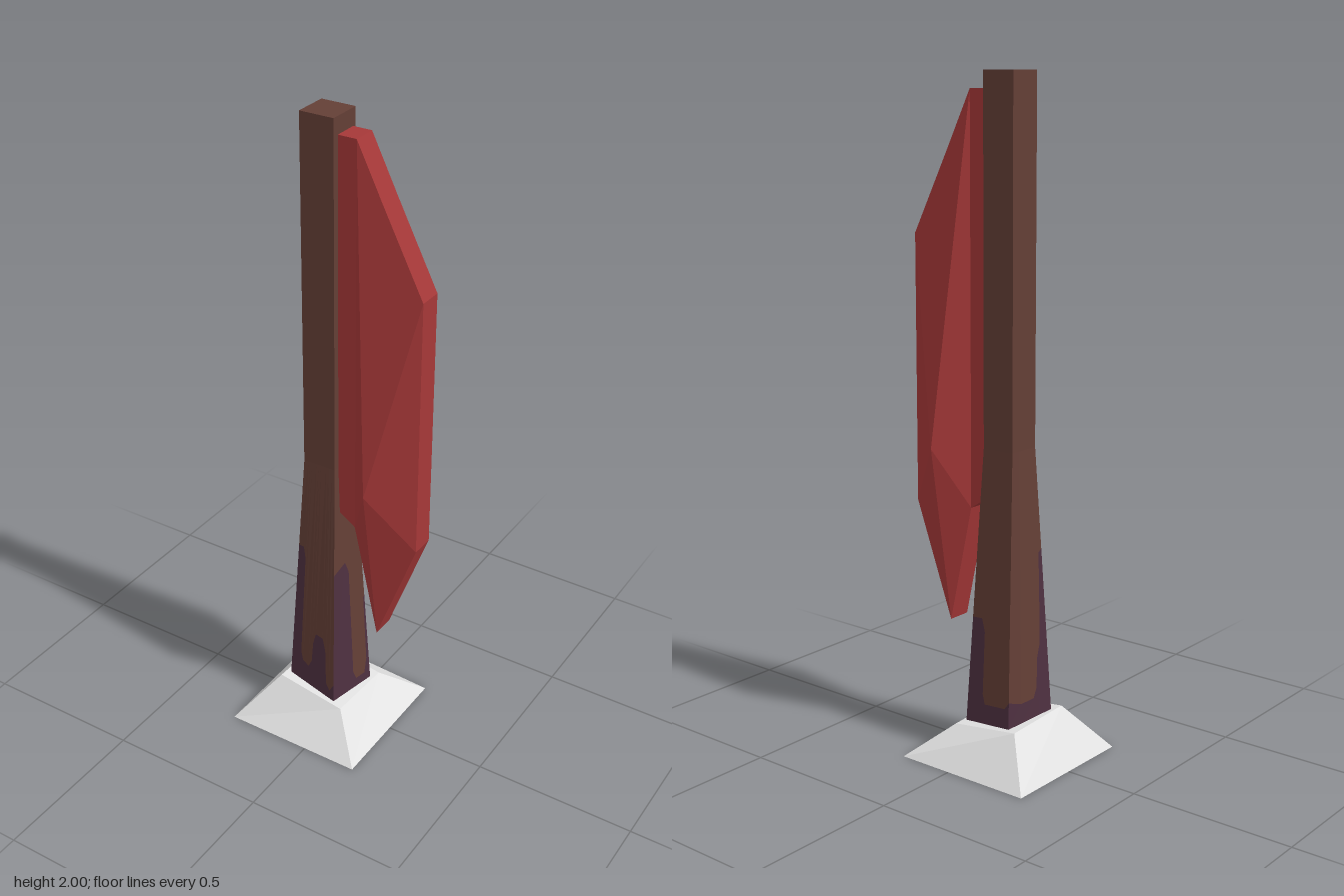
import * as THREE from 'three';

const mats = {
  wood: new THREE.MeshStandardMaterial({ color: 0x643f36 }),
  stain: new THREE.MeshStandardMaterial({ color: 0x4e3040 }),
  cloth: new THREE.MeshStandardMaterial({ color: 0xa63838 }),
  stone: new THREE.MeshStandardMaterial({ color: 0xe2e2e2 }),
};
for (const [name, m] of Object.entries(mats)) m.name = name;

// Faceted mesh from a list of polygons (each a convex loop of [x, y, z], counter-clockwise)
function facets(name, material, polys) {
  const pos = [];
  for (const p of polys)
    for (let i = 1; i < p.length - 1; i++) pos.push(...p[0], ...p[i], ...p[i + 1]);
  const g = new THREE.BufferGeometry();
  g.setAttribute('position', new THREE.Float32BufferAttribute(pos, 3));
  g.computeVertexNormals();
  const mesh = new THREE.Mesh(g, material);
  mesh.name = name;
  return mesh;
}

const mix = (a, b, t) => a.map((v, i) => v + (b[i] - v) * t);

// Side walls between two loops listed front-left, front-right, back-right, back-left
const walls = (low, high) => low.map((p, i) => {
  const j = (i + 1) % low.length;
  return [p, low[j], high[j], high[i]];
});

// Height of the gently tilted plinth top
const tilt = (x, z) => 0.12 - 0.14 * (x + 0.05) + 0.06 * z;
const onTilt = ([x, z]) => [x, tilt(x, z), z];

function makePlinth() {
  const foot = [[-0.27, 0, 0.223], [0.175, 0, 0.223], [0.175, 0, -0.225], [-0.27, 0, -0.225]];
  const top = [[-0.162, 0.108], [0.063, 0.115], [0.065, -0.112], [-0.16, -0.117]].map(onTilt);
  return facets('plinth', mats.stone, [...walls(foot, top), top, [...foot].reverse()]);
}

function makePost() {
  const post = new THREE.Group();
  post.name = 'post';
  const square = (y) => [[-0.102, y, 0.05], [0.003, y, 0.05], [0.003, y, -0.055], [-0.102, y, -0.055]];
  const bend = square(0.94), top = square(2);
  post.add(facets('upperPost', mats.wood, [...walls(bend, top), top]));

  // Twisted flare; each face has a stain whose upper edge is a [u, y] line
  const low = [[-0.148, 0.075], [0.028, 0.1], [0.053, -0.078], [-0.125, -0.1]].map(onTilt);
  const stainLines = [
    [[0, 0.63], [0.14, 0.63], [0.2, 0.59], [0.21, 0.23], [0.26, 0.2], [0.4, 0.19], [0.47, 0.22],
      [0.49, 0.29], [0.55, 0.33], [0.72, 0.33], [0.79, 0.29], [0.82, 0.17], [0.9, 0.15], [1, 0.18]],
    [[0, 0.58], [0.4, 0.6], [0.52, 0.56], [0.55, 0.18], [0.62, 0.15], [0.85, 0.15], [0.93, 0.2], [0.96, 0.43], [1, 0.44]],
    [[0, 0.44], [0.25, 0.44], [0.34, 0.4], [0.36, 0.21], [0.42, 0.18], [0.9, 0.18], [1, 0.2]],
    [[0, 0.2], [0.3, 0.18], [0.6, 0.18], [0.68, 0.21], [0.72, 0.3], [0.8, 0.34], [0.86, 0.5], [0.9, 0.62], [1, 0.63]],
  ];
  const woodQuads = [], stainQuads = [];
  stainLines.forEach((line, f) => {
    const g = (f + 1) % 4;
    const at = (u, v) => mix(mix(low[f], low[g], u), mix(bend[f], bend[g], u), v);
    for (let i = 0; i < line.length - 1; i++) {
      const [[u0, y0], [u1, y1]] = [line[i], line[i + 1]];
      const v0 = (y0 - 0.12) / 0.82, v1 = (y1 - 0.12) / 0.82;
      stainQuads.push([at(u0, 0), at(u1, 0), at(u1, v1), at(u0, v0)]);
      woodQuads.push([at(u0, v0), at(u1, v1), at(u1, 1), at(u0, 1)]);
    }
  });
  post.add(facets('lowerPost', mats.wood, woodQuads));
  post.add(facets('lowerPostStain', mats.stain, stainQuads));
  return post;
}

function makeBanner() {
  const banner = new THREE.Group();
  banner.name = 'banner';
  const zMid = -0.007, half = 0.037, bulge = 0.122;

  // Flat strip against the post
  const strip = new THREE.Shape([[0, 1.95], [0, 0.79], [0.06, 0.75], [0.06, 1.95]].map((p) => new THREE.Vector2(...p)));
  const stripGeo = new THREE.ExtrudeGeometry(strip, { depth: half * 2, bevelEnabled: false });
  stripGeo.translate(0, 0, zMid - half);
  const stripMesh = new THREE.Mesh(stripGeo, mats.cloth);
  stripMesh.name = 'bannerStrip';

  // Billowing sail: an outline fanned to a ridge point on both sides
  const outline = [[0.06, 0.93], [0.06, 0.75], [0.14, 0.39], [0.268, 0.74], [0.268, 0.93], [0.268, 1.54], [0.14, 1.79], [0.06, 1.95]];
  const polys = [];
  outline.forEach((a, i) => {
    const b = outline[(i + 1) % outline.length];
    const p = (q, d) => [...q, zMid + d];
    const ridge = [0.14, 0.93];
    polys.push([p(ridge, bulge), p(a, half), p(b, half)]);
    polys.push([p(ridge, -bulge), p(b, -half), p(a, -half)]);
    polys.push([p(a, half), p(a, -half), p(b, -half), p(b, half)]);
  });
  banner.add(stripMesh, facets('bannerSail', mats.cloth, polys));
  return banner;
}

export function createModel() {
  const model = new THREE.Group();
  model.name = 'bannerPost';
  model.add(makePlinth(), makePost(), makeBanner());
  return model;
}
